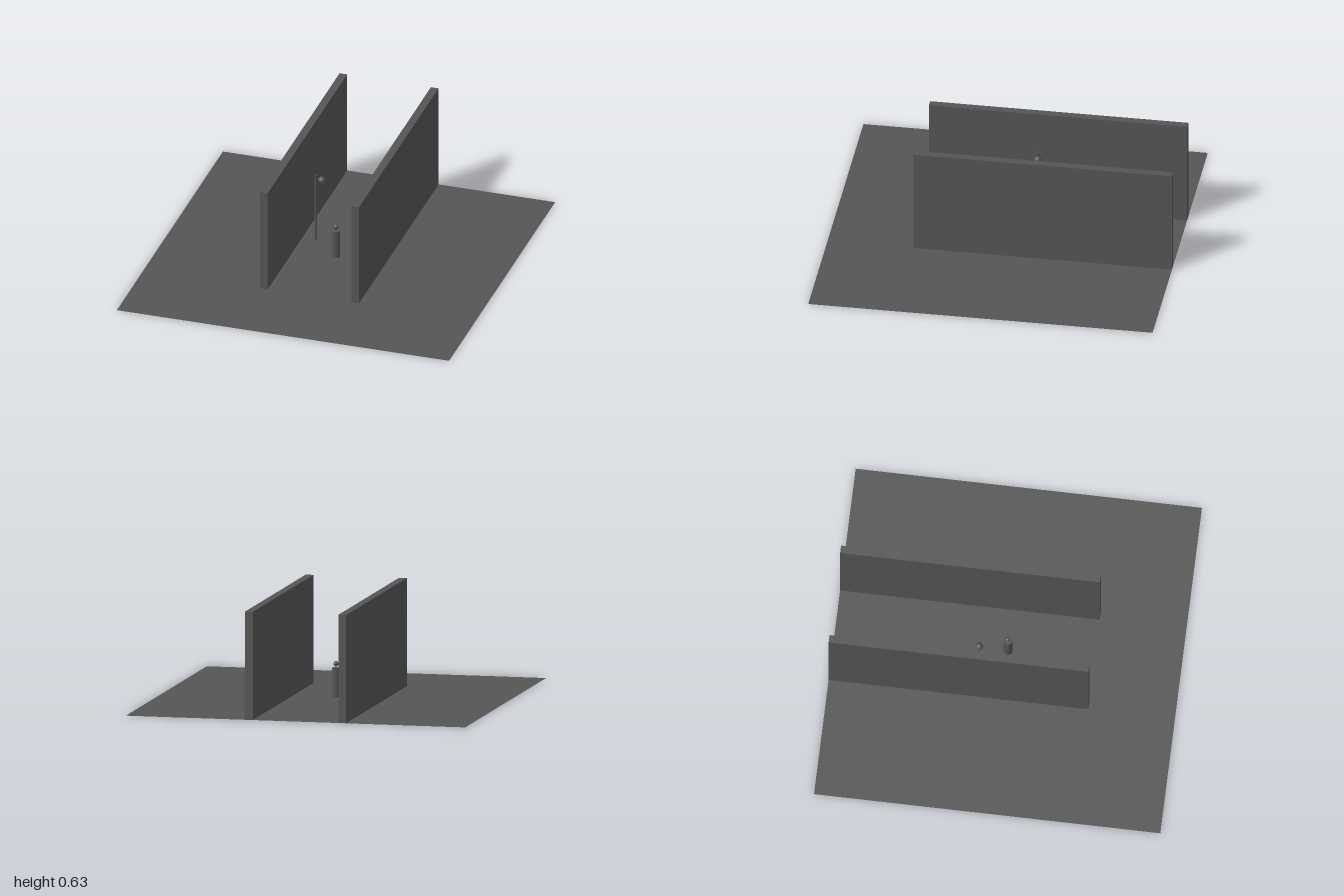
import * as THREE from 'three';

export function createModel() {
  const group = new THREE.Group();
  const grey = new THREE.MeshStandardMaterial({ color: 0x555555 });
  grey.name = 'grey';
  const ground = new THREE.MeshStandardMaterial({ color: 0x555555, side: THREE.DoubleSide });
  ground.name = 'groundGrey';

  const add = (name, geometry, x, y, z, material = grey) => {
    const mesh = new THREE.Mesh(geometry, material);
    mesh.name = name;
    mesh.position.set(x, y, z);
    group.add(mesh);
  };

  // flat ground sheet
  add('ground', new THREE.PlaneGeometry(2, 2).rotateX(-Math.PI / 2), 0, 0, 0, ground);

  // two long walls forming an alley that runs to the back edge
  for (const [side, name] of [[1, 'leftWall'], [-1, 'rightWall']]) {
    add(name, new THREE.BoxGeometry(0.046, 0.627, 1.5), side * 0.275, 0.3135, -0.25);
  }

  // standing figure: body and head
  add('figureBody', new THREE.CylinderGeometry(0.025, 0.025, 0.17, 8), 0, 0.085, 0);
  add('figureHead', new THREE.SphereGeometry(0.0155, 12, 8), 0, 0.192, 0);

  // street lamp: post with a round lamp beside its top
  add('lampPost', new THREE.CylinderGeometry(0.0065, 0.0065, 0.425, 8), -0.17, 0.2125, -0.15);
  add('lampGlobe', new THREE.SphereGeometry(0.022, 12, 8), -0.134, 0.396, -0.15);

  return group;
}
